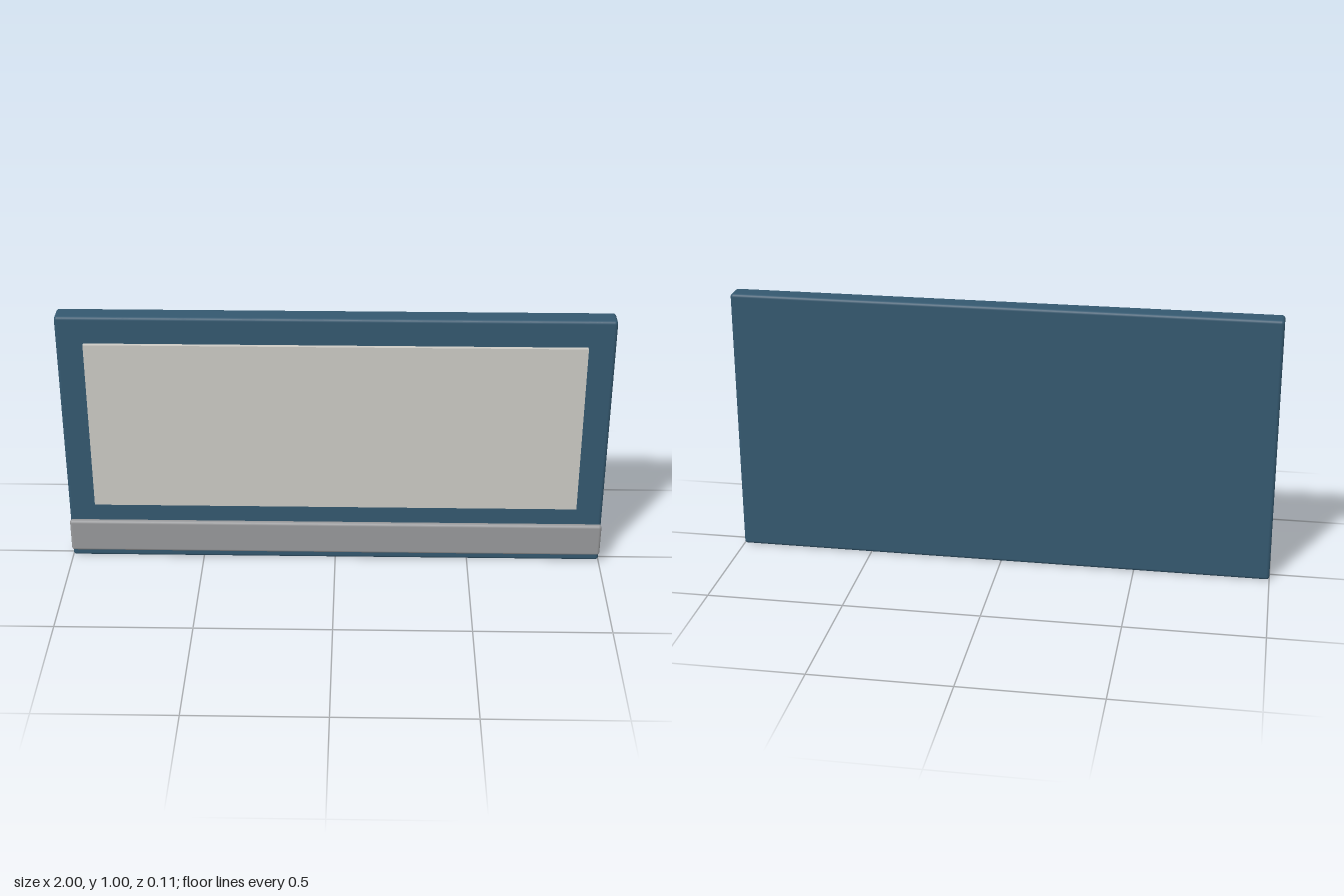
import * as THREE from 'three';
import { RoundedBoxGeometry } from 'three/addons/geometries/RoundedBoxGeometry.js';

// Adds a slab given its width and its y and z extents; radius 0 means sharp edges
function addSlab(group, name, color, width, [y0, y1], [z0, z1], radius) {
  const h = y1 - y0, d = z1 - z0;
  const geometry = radius
    ? new RoundedBoxGeometry(width, h, d, 4, radius)
    : new THREE.BoxGeometry(width, h, d);
  const mesh = new THREE.Mesh(geometry, new THREE.MeshStandardMaterial({ color }));
  mesh.name = name;
  mesh.position.set(0, (y0 + y1) / 2, (z0 + z1) / 2);
  group.add(mesh);
}

export function createModel() {
  const group = new THREE.Group();
  group.name = 'framedPanel';

  // Main board with softly rounded edges
  addSlab(group, 'board', 0x34586f, 2, [0, 1], [-0.053, 0.027], 0.012);

  // Thin, sharp-edged face panel standing just clear of the board
  addSlab(group, 'facePanel', 0xcccac4, 1.8, [0.237, 0.9], [0.031, 0.046], 0);

  // Rounded rail across the bottom of the front
  addSlab(group, 'bottomRail', 0x98999b, 2, [0.037, 0.167], [0.029, 0.053], 0.011);

  return group;
}
